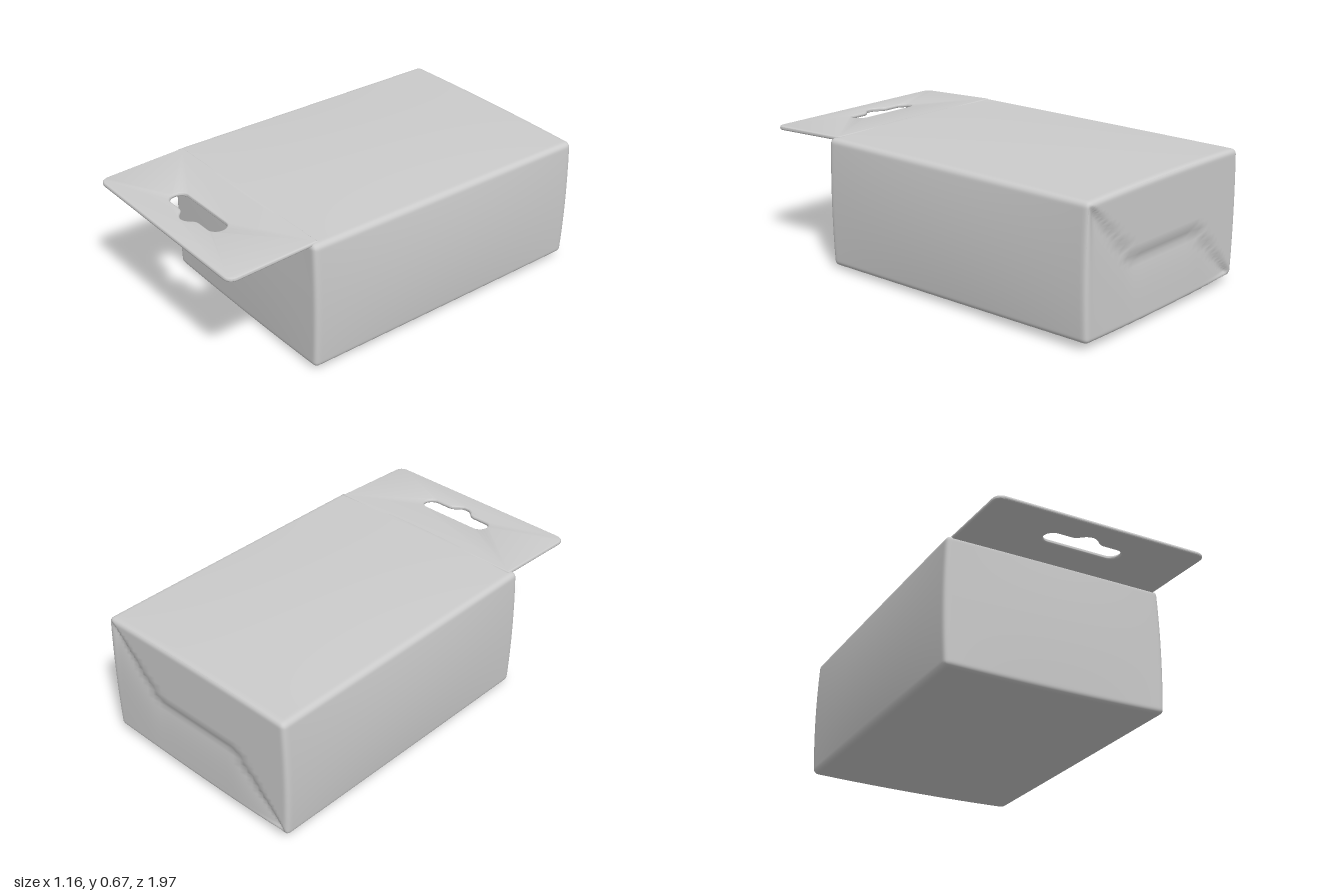
import * as THREE from 'three';
import { mergeVertices, toCreasedNormals } from 'three/addons/utils/BufferGeometryUtils.js';

const material = new THREE.MeshStandardMaterial({ color: 0xcccccc });
const HALF = new THREE.Vector3(0.56, 0.315, 0.777);
const CENTER = new THREE.Vector3(0, 0.34, -0.208);
const RADIUS = 0.025;

// Height of the folded paper edge across the back, relative to the box centre
function foldHeight(x) {
  const corner = THREE.MathUtils.clamp((Math.abs(x) - 0.24) / (HALF.x - 0.24), 0, 1);
  return Math.sign(x) * corner * HALF.y;
}

// Soft carton: rounded edges, slightly bulging walls and a folded flap behind
function makeCarton() {
  let geo = new THREE.BoxGeometry(2, 2, 2, 48, 48, 40);
  geo.deleteAttribute('uv');
  geo.deleteAttribute('normal');
  geo = mergeVertices(geo);
  const pos = geo.attributes.position;
  const inner = HALF.clone().subScalar(RADIUS);
  const p = new THREE.Vector3(), core = new THREE.Vector3();
  const dense = (t) => 0.55 * Math.sin(t * Math.PI / 2) + 0.45 * Math.sin(Math.sin(t * Math.PI / 2) * Math.PI / 2);
  for (let i = 0; i < pos.count; i++) {
    p.fromBufferAttribute(pos, i);
    const back = p.z < -0.999;
    p.set(dense(p.x), dense(p.y), dense(p.z)).multiply(HALF);
    core.copy(p).clamp(inner.clone().negate(), inner);
    p.sub(core).setLength(RADIUS).add(core);
    const u = p.x / HALF.x, v = p.y / HALF.y, w = p.z / HALF.z;
    const a = 1 - u * u, b = 1 - v * v, c = 1 - w * w;
    // Lower panel tucked under the flap, fading out towards the bottom and rim
    if (back) {
      const below = foldHeight(p.x) - p.y;
      const step = THREE.MathUtils.smoothstep(below, -0.012, 0.012);
      const rim = Math.min(1, 6 * Math.max(0, a)) * Math.min(1, 6 * Math.max(0, b));
      p.z += 0.022 * step * Math.exp(-Math.max(0, below) / 0.12) * rim;
    }
    p.x += u * 0.02 * b * (0.5 + 0.5 * c);
    p.y += v * (v > 0 ? 0.018 : 0.022) * a * (0.4 + 0.6 * c);
    if (!back) p.z += w * 0.008 * a * b;
    // Base rises slightly towards the back
    if (v < 0) p.y += v * 0.01 * w;
    p.add(CENTER);
    pos.setXYZ(i, p.x, p.y, p.z);
  }
  geo.computeVertexNormals();
  const mesh = new THREE.Mesh(geo, material);
  mesh.name = 'carton';
  return mesh;
}

// Thin hanging tab with a slot, drawn in plan (x, z)
function makeTab() {
  const w = 0.535, z0 = 0.53, z1 = 0.985, r = 0.05;
  const shape = new THREE.Shape();
  shape.moveTo(-w, z0);
  shape.lineTo(w, z0);
  shape.lineTo(w, z1 - r);
  shape.quadraticCurveTo(w, z1, w - r, z1);
  shape.lineTo(-w + r, z1);
  shape.quadraticCurveTo(-w, z1, -w, z1 - r);
  shape.closePath();

  // Rounded slot with a notch towards the free edge
  const slot = new THREE.Path();
  slot.moveTo(-0.15, 0.745);
  slot.lineTo(0.15, 0.745);
  slot.absarc(0.15, 0.79, 0.045, -Math.PI / 2, Math.PI / 2, false);
  slot.lineTo(0.085, 0.835);
  slot.quadraticCurveTo(0.06, 0.835, 0.045, 0.855);
  slot.quadraticCurveTo(0, 0.9, -0.045, 0.855);
  slot.quadraticCurveTo(-0.06, 0.835, -0.085, 0.835);
  slot.lineTo(-0.15, 0.835);
  slot.absarc(-0.15, 0.79, 0.045, Math.PI / 2, Math.PI * 1.5, false);
  shape.holes.push(slot);

  let geo = new THREE.ExtrudeGeometry(shape, {
    depth: 0.004, bevelThickness: 0.008, bevelSize: 0.008, bevelOffset: -0.008,
    bevelSegments: 3, curveSegments: 10,
  });
  geo.rotateX(Math.PI / 2);
  // Droop towards the free edge
  const pos = geo.attributes.position;
  for (let i = 0; i < pos.count; i++) {
    pos.setY(i, pos.getY(i) + 0.654 - 0.045 * (pos.getZ(i) - z0));
  }
  geo = toCreasedNormals(geo, 0.7);
  const mesh = new THREE.Mesh(geo, material);
  mesh.name = 'hangingTab';
  return mesh;
}

export function createModel() {
  const group = new THREE.Group();
  group.name = 'hangingCarton';
  group.add(makeCarton(), makeTab());
  return group;
}
